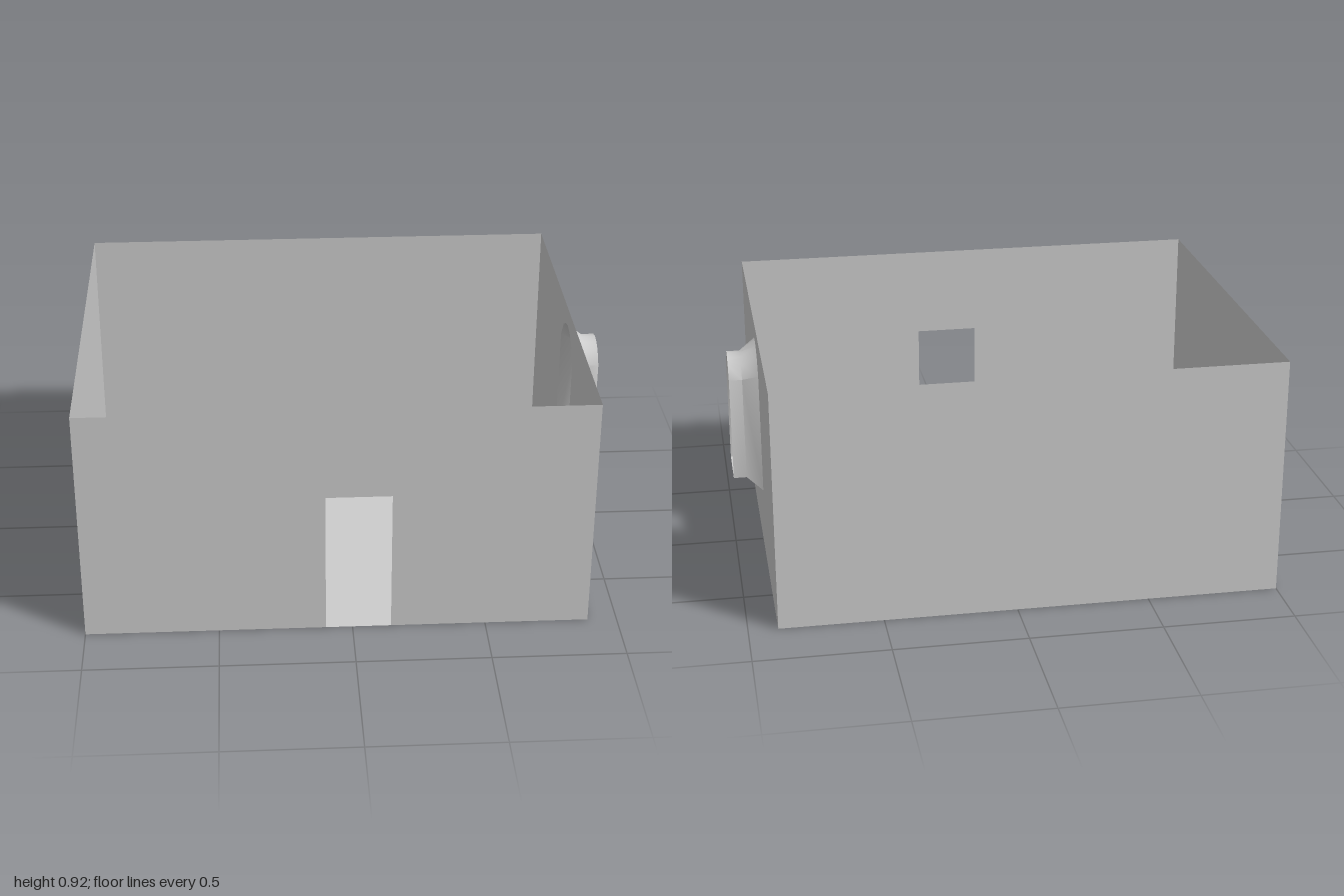
import * as THREE from 'three';
import { toCreasedNormals } from 'three/addons/utils/BufferGeometryUtils.js';

const LEFT = -1, RIGHT = 0.89, DEPTH = 0.7725, HEIGHT = 0.92;
const material = new THREE.MeshStandardMaterial({ color: 0xcccccc, side: THREE.DoubleSide });

// Arched outline, counter-clockwise seen from outside; u runs along -z
function archOutline(halfWidth, sill, spring, rise) {
  const centre = 0.012;
  const half = [[1, 0], [0.67, 0.64], [0.35, 0.9], [0, 1]];
  const arc = [...half, ...half.slice(0, 3).reverse().map(([u, v]) => [-u, v])];
  return [
    [centre - halfWidth, sill],
    [centre + halfWidth, sill],
    ...arc.map(([u, v]) => [centre + u * halfWidth, spring + v * rise]),
  ].map(([u, v]) => new THREE.Vector2(u, v));
}

// Open tube through a series of outlines, each at its own x
function loftOutlines(sections) {
  const position = [], index = [];
  const n = sections[0].outline.length;
  for (const { x, outline } of sections) for (const p of outline) position.push(x, p.y, -p.x);
  for (let s = 0; s < sections.length - 1; s++) {
    for (let i = 0; i < n; i++) {
      const a = s * n + i, b = s * n + (i + 1) % n;
      index.push(a, b, b + n, a, b + n, a + n);
    }
  }
  const geometry = new THREE.BufferGeometry();
  geometry.setAttribute('position', new THREE.Float32BufferAttribute(position, 3));
  geometry.setIndex(index);
  return toCreasedNormals(geometry, 0.75);
}

export function createModel() {
  const model = new THREE.Group();
  model.name = 'room';
  const add = (name, geometry) => {
    const mesh = new THREE.Mesh(geometry, material);
    mesh.name = name;
    model.add(mesh);
    return mesh;
  };
  const width = RIGHT - LEFT, midX = (RIGHT + LEFT) / 2;

  // Floor, facing down
  add('floor', new THREE.PlaneGeometry(width, DEPTH * 2).rotateX(Math.PI / 2).translate(midX, 0, 0));

  // Plain walls
  add('backWall', new THREE.PlaneGeometry(width, HEIGHT).rotateY(Math.PI).translate(midX, HEIGHT / 2, -DEPTH));
  add('rightWall', new THREE.PlaneGeometry(DEPTH * 2, HEIGHT).rotateY(-Math.PI / 2).translate(LEFT, HEIGHT / 2, 0));

  // Front wall with a doorway notched out down to the floor
  const front = new THREE.Shape([
    [LEFT, 0], [-0.1, 0], [-0.1, 0.565], [0.145, 0.565], [0.145, 0],
    [RIGHT, 0], [RIGHT, HEIGHT], [LEFT, HEIGHT],
  ].map(([x, y]) => new THREE.Vector2(x, y)));
  add('frontWall', new THREE.ShapeGeometry(front).translate(0, 0, DEPTH));

  // Side wall with the arched window opening
  const outer = archOutline(0.142, 0.28, 0.752, 0.1);
  const inner = archOutline(0.107, 0.325, 0.73, 0.075);
  const side = new THREE.Shape([
    [-DEPTH, 0], [DEPTH, 0], [DEPTH, HEIGHT], [-DEPTH, HEIGHT],
  ].map(([u, y]) => new THREE.Vector2(u, y)));
  side.holes.push(new THREE.Path([...outer].reverse()));
  add('leftWall', new THREE.ShapeGeometry(side).rotateY(Math.PI / 2).translate(RIGHT, 0, 0));

  // Window surround: flare off the wall, then a straight collar
  add('windowSurround', loftOutlines([
    { x: RIGHT, outline: outer },
    { x: 0.95, outline: inner },
    { x: 1, outline: inner },
  ]));

  return model;
}
